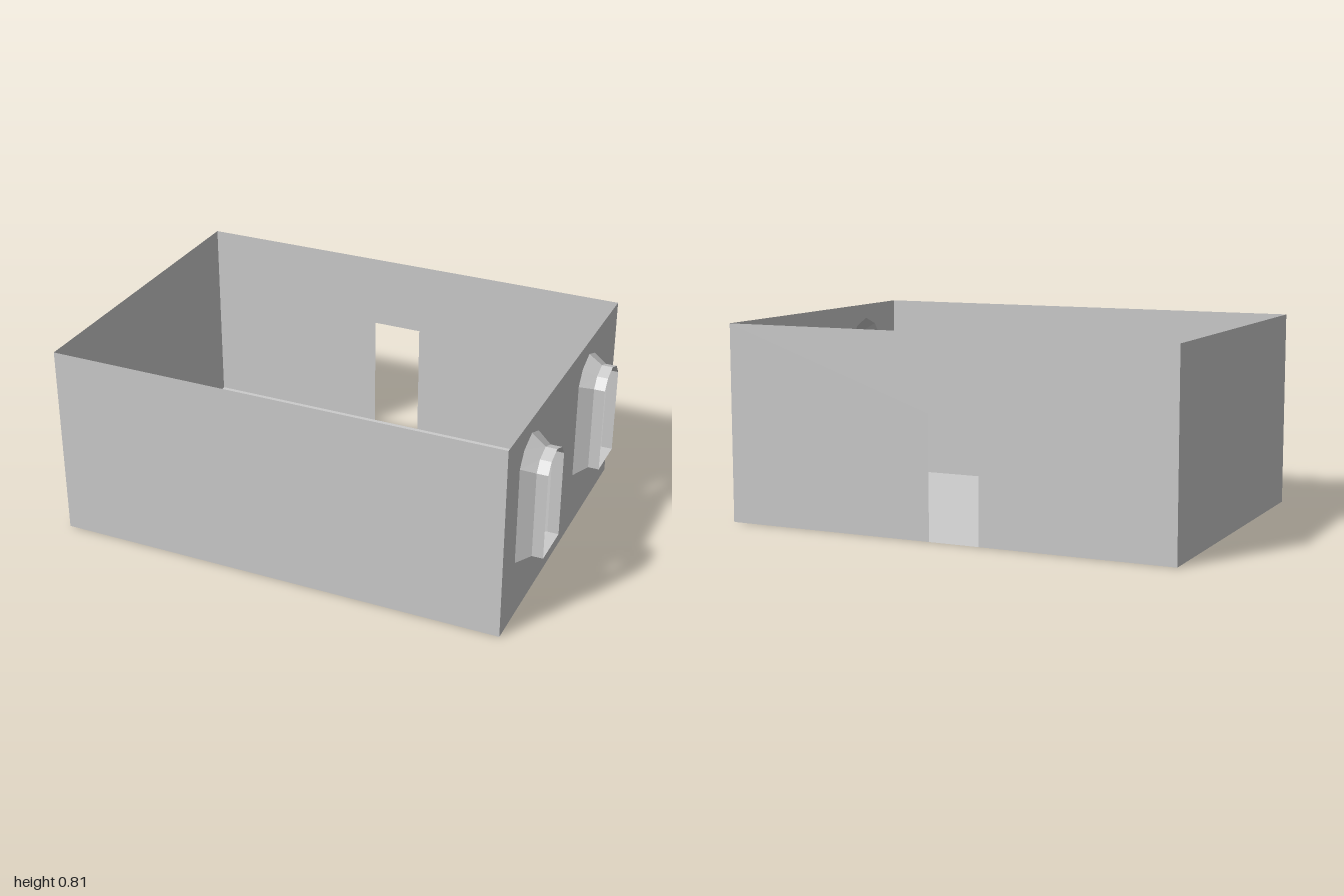
import * as THREE from 'three';

const material = new THREE.MeshStandardMaterial({ color: 0xcccccc, flatShading: true, side: THREE.DoubleSide });

// Room extents
const LEFT = -1, RIGHT = 0.9, HALF_DEPTH = 0.68, HEIGHT = 0.81;

const toShape = (points) => new THREE.Shape(points.map(([x, y]) => new THREE.Vector2(x, y)));

// Closed outline of a round-headed window as [z, y] pairs
function archOutline(z, halfWidth, sill, spring, top) {
  const points = [[z - halfWidth, sill], [z + halfWidth, sill]];
  const segments = 4;
  for (let i = 0; i <= segments; i++) {
    const a = (i / segments) * Math.PI;
    points.push([
      z + halfWidth * Math.cos(a) * (i % 2 ? 0.93 : 1),
      spring + (top - spring) * Math.sin(a) * (i % 2 ? 0.93 : 1),
    ]);
  }
  return points;
}

// Skin between successive outlines, each placed at its own x
function loft(rings) {
  const positions = [];
  for (let r = 0; r < rings.length - 1; r++) {
    const a = rings[r], b = rings[r + 1], n = a.outline.length;
    for (let i = 0; i < n; i++) {
      const j = (i + 1) % n;
      const corner = (ring, k) => [ring.x, ring.outline[k][1], ring.outline[k][0]];
      const p = corner(a, i), q = corner(a, j), s = corner(b, j), t = corner(b, i);
      positions.push(...p, ...s, ...q, ...p, ...t, ...s);
    }
  }
  const geometry = new THREE.BufferGeometry();
  geometry.setAttribute('position', new THREE.Float32BufferAttribute(positions, 3));
  geometry.computeVertexNormals();
  return geometry;
}

export function createModel() {
  const group = new THREE.Group();
  const add = (name, geometry) => {
    const mesh = new THREE.Mesh(geometry, material);
    mesh.name = name;
    group.add(mesh);
    return mesh;
  };

  // Floor
  const width = RIGHT - LEFT, middle = (LEFT + RIGHT) / 2;
  add('floor', new THREE.PlaneGeometry(width, HALF_DEPTH * 2).rotateX(-Math.PI / 2).translate(middle, 0, 0));

  // Plain walls
  add('frontWall', new THREE.PlaneGeometry(width, HEIGHT).translate(middle, HEIGHT / 2, HALF_DEPTH));
  add('sideWall', new THREE.PlaneGeometry(HALF_DEPTH * 2, HEIGHT)
    .rotateY(-Math.PI / 2).translate(LEFT, HEIGHT / 2, 0));

  // Back wall, cut around a doorway that reaches the floor
  const door = { x0: -0.206, x1: 0.007, top: 0.5 };
  add('backWallWithDoorway', new THREE.ShapeGeometry(toShape([
    [LEFT, 0], [door.x0, 0], [door.x0, door.top], [door.x1, door.top],
    [door.x1, 0], [RIGHT, 0], [RIGHT, HEIGHT], [LEFT, HEIGHT],
  ])).rotateY(Math.PI).scale(-1, 1, 1).translate(0, 0, -HALF_DEPTH));

  // Window wall with two flared, open window surrounds
  const wall = toShape([[-HALF_DEPTH, 0], [HALF_DEPTH, 0], [HALF_DEPTH, HEIGHT], [-HALF_DEPTH, HEIGHT]]);
  const windows = [
    { name: 'frontWindowSurround', z: 0.415, lift: 0 },
    { name: 'backWindowSurround', z: -0.293, lift: 0.007 },
  ];
  for (const { name, z, lift } of windows) {
    const outer = archOutline(z, 0.124, 0.248, 0.657, 0.748);
    const inner = archOutline(z, 0.093, 0.276 + lift, 0.637 + lift, 0.702 + lift);
    wall.holes.push(new THREE.Path(outer.map(([a, b]) => new THREE.Vector2(a, b))));
    add(name, loft([
      { x: RIGHT, outline: outer },
      { x: 0.955, outline: inner },
      { x: 1, outline: inner },
    ]));
  }
  add('windowWall', new THREE.ShapeGeometry(wall).rotateY(-Math.PI / 2).translate(RIGHT, 0, 0));

  return group;
}
